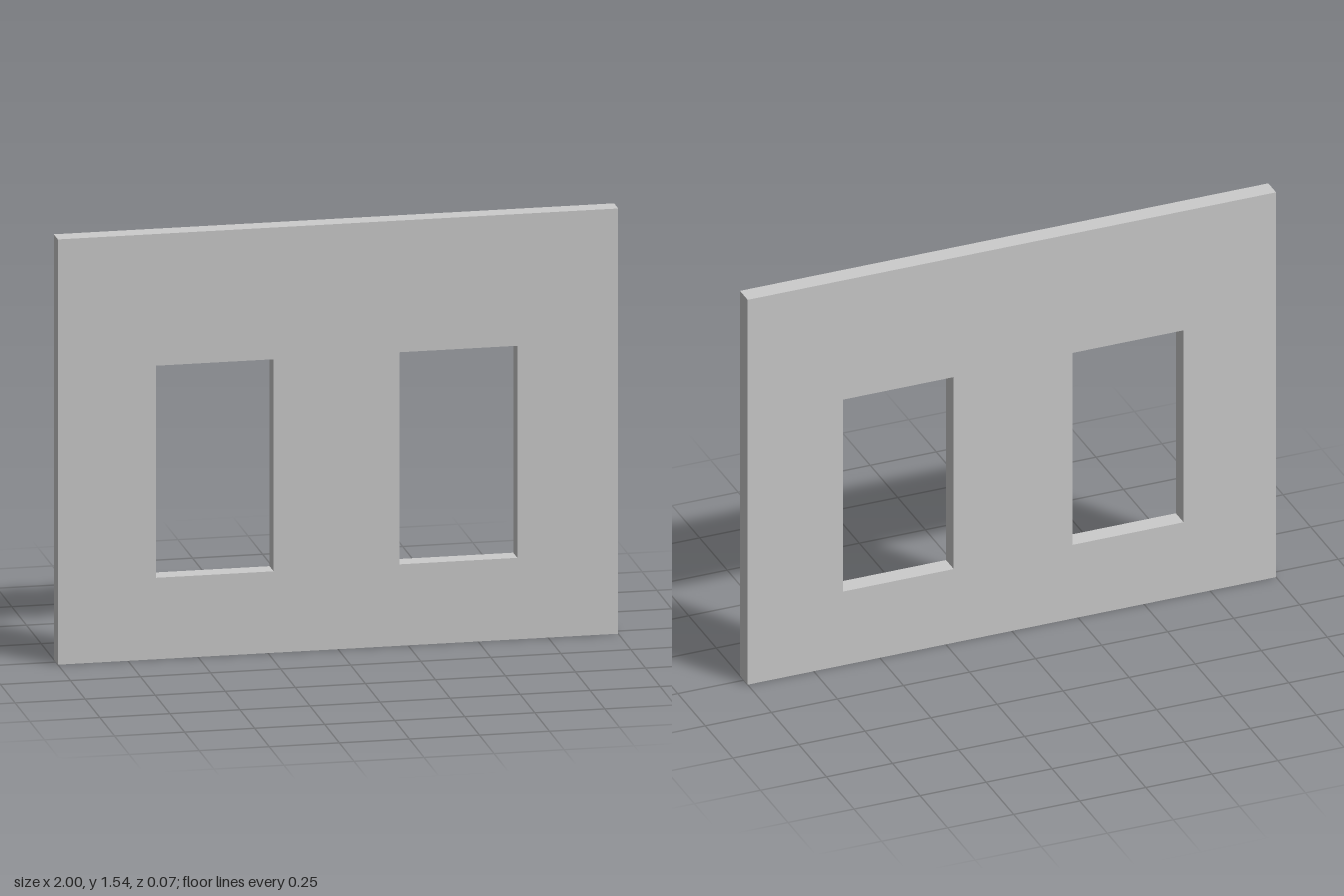
import * as THREE from 'three';

const WIDTH = 2, HEIGHT = 1.54, DEPTH = 0.07;
const SILL = 0.295, HEAD = 1.063;
const WINDOWS = [[-0.65, -0.23], [0.22, 0.64]]; // left and right edge of each opening

// Rectangular outline, used for the wall and its openings
function trace(path, x0, y0, x1, y1) {
  path.moveTo(x0, y0);
  path.lineTo(x1, y0);
  path.lineTo(x1, y1);
  path.lineTo(x0, y1);
  path.closePath();
  return path;
}

export function createModel() {
  const group = new THREE.Group();
  group.name = 'windowWall';

  // Wall slab with two window openings cut right through
  const outline = trace(new THREE.Shape(), -WIDTH / 2, 0, WIDTH / 2, HEIGHT);
  for (const [x0, x1] of WINDOWS) {
    outline.holes.push(trace(new THREE.Path(), x0, SILL, x1, HEAD));
  }
  const geometry = new THREE.ExtrudeGeometry(outline, { depth: DEPTH, bevelEnabled: false });
  geometry.translate(0, 0, -DEPTH / 2);

  const wall = new THREE.Mesh(geometry, new THREE.MeshStandardMaterial({ color: 0xcccccc }));
  wall.name = 'wall';
  group.add(wall);
  return group;
}
